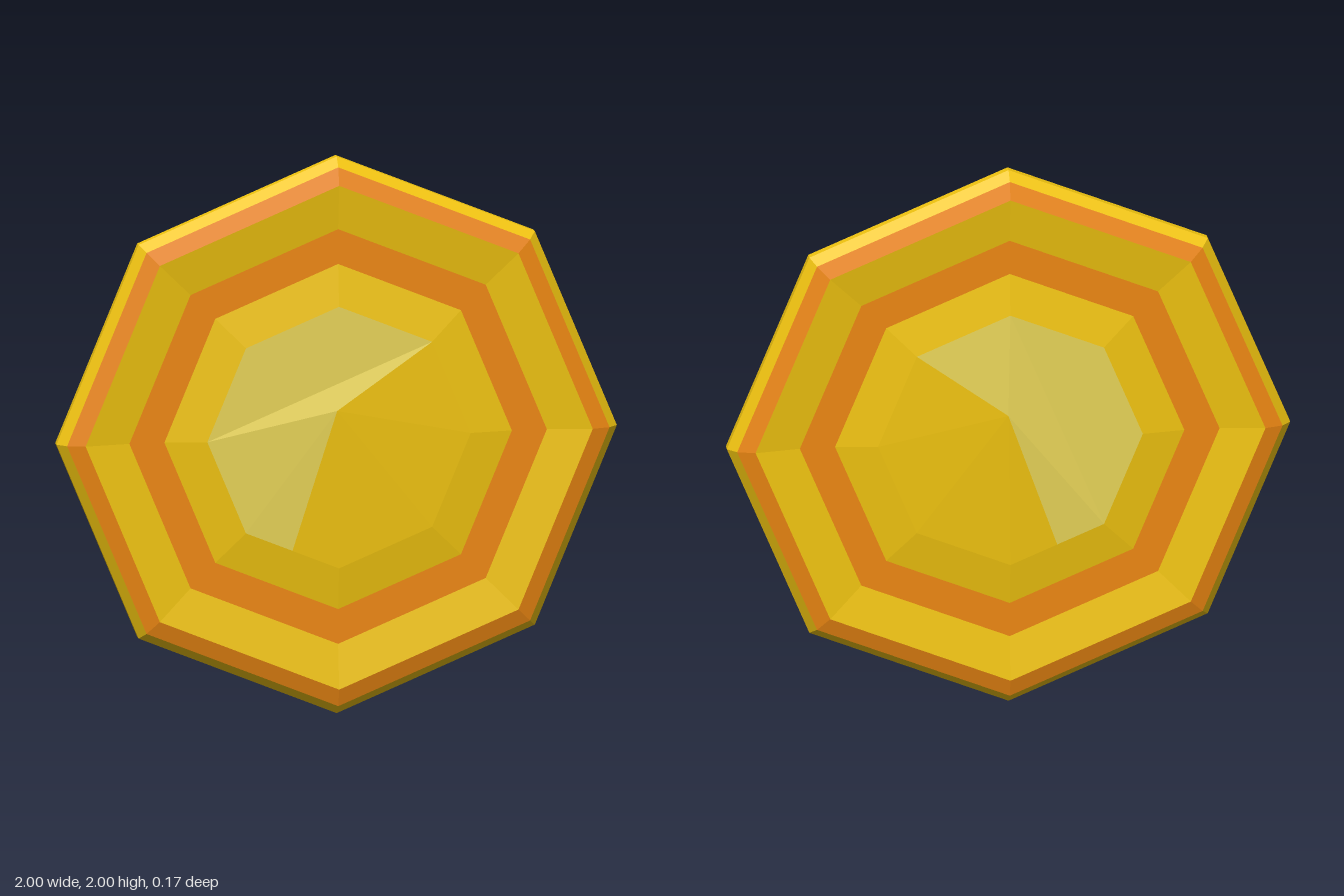
import * as THREE from 'three';

const material = (color) => new THREE.MeshStandardMaterial({ color, flatShading: true });
const gold = material(0xf1c40f);
const orange = material(0xee8812);
const pale = material(0xe8d458);

// Eight-sided band through [radius, depth] points, facing +z
function band(name, points, mat) {
  const geometry = new THREE.LatheGeometry(points.map(([r, z]) => new THREE.Vector2(r, z)), 8);
  geometry.rotateX(Math.PI / 2);
  const mesh = new THREE.Mesh(geometry, mat);
  mesh.name = name;
  return mesh;
}

const INNER = 0.47, INNER_Z = 0.063;
const APEX = new THREE.Vector3(-0.01, 0.1, 0.083);

// Point on the octagon around the centre; step 0 is +x, half steps lie mid-edge
function corner(step) {
  const at = (s) => new THREE.Vector3(
    INNER * Math.cos(s * Math.PI / 4), INNER * Math.sin(s * Math.PI / 4), INNER_Z);
  return at(Math.floor(step)).lerp(at(Math.ceil(step)), 0.5);
}

// Fan of triangles from a hub to a counter-clockwise run of corners
function fan(name, hub, steps, mat) {
  const points = [];
  for (let i = 0; i + 1 < steps.length; i++) {
    points.push(hub, corner(steps[i]), corner(steps[i + 1]));
  }
  const geometry = new THREE.BufferGeometry().setFromPoints(points);
  geometry.computeVertexNormals();
  const mesh = new THREE.Mesh(geometry, mat);
  mesh.name = name;
  return mesh;
}

// One half of the disc; the centre facets differ from face to face
function face(name, addCentre) {
  const group = new THREE.Group();
  group.name = name;
  group.add(
    band('edge', [[1, 0], [1, 0.014], [0.968, 0.048]], gold),
    band('rimBevel', [[0.968, 0.048], [0.905, 0.066]], orange),
    band('outerSlope', [[0.905, 0.066], [0.745, 0.044]], gold),
    band('recessRing', [[0.745, 0.044], [0.62, 0.044]], orange),
    band('innerSlope', [[0.62, 0.044], [INNER, INNER_Z]], gold),
  );
  addCentre(group);
  return group;
}

export function createModel() {
  const model = new THREE.Group();
  model.name = 'medallion';

  const front = face('frontFace', (group) => group.add(
    fan('paleFlat', corner(4), [1, 2, 3], pale),
    fan('paleFacets', APEX, [4, 5, 5.5], pale),
    fan('paleSliver', APEX, [1, 4], pale),
    fan('goldFacets', APEX, [5.5, 6, 7, 8, 9], gold),
  ));

  const back = face('backFace', (group) => group.add(
    fan('paleFlat', corner(7), [0, 1, 2], pale),
    fan('paleSliver', APEX, [7, 2], pale),
    fan('paleUpperFacet', APEX, [2, 3], pale),
    fan('paleLowerFacet', APEX, [6.5, 7], pale),
    fan('goldFacets', APEX, [3, 4, 5, 6, 6.5], gold),
  ));
  back.rotation.y = Math.PI;

  model.add(front, back);
  for (const half of model.children) half.position.y = 1;
  return model;
}
